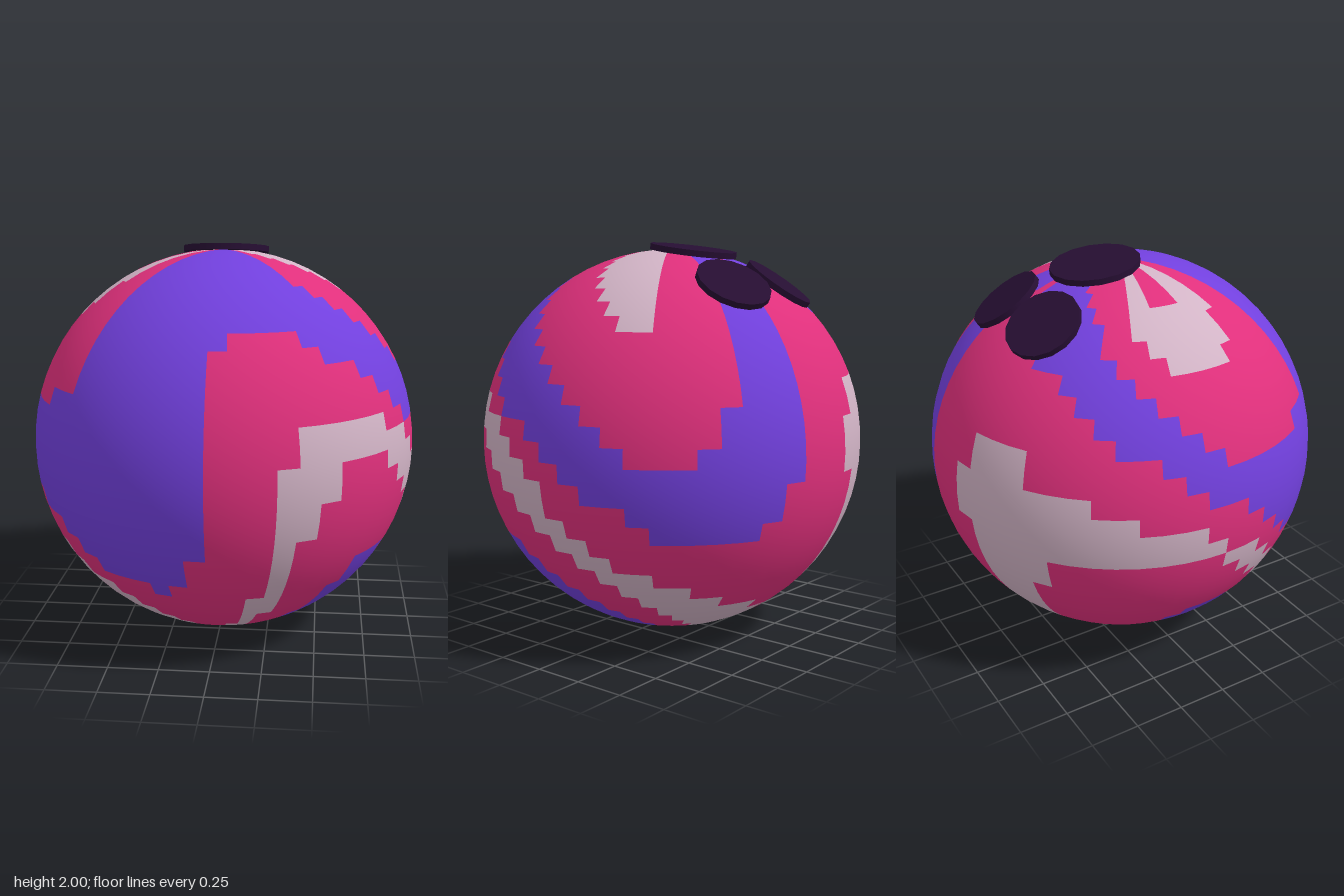
import * as THREE from 'three';

const R = 0.982, CY = 0.984;
const COLS = 56, ROWS = 34;

// Patch rules on the ball's grid: column c is 0 at the front, 14 at the model's left
// and -14 at its right; row r is 0 at the equator and 17 at the top.
const span = (v, a, b) => v > a && v < b;

// big front field, running on round the right side as a rising spiral
function frontSwirl(c, r) {
  if (!span(c, -28, 0) || c + 1.27 * r < -12.8) return false;
  if (c < -14) return c + 0.85 * r < -11.5;
  if (c < -7) return r < (c < -9 ? 3 : 4);
  return r > (c > -1 ? -4 : span(c, -3, -2) ? -7 : -6);
}

// band falling from the top round the left side, then rising again at the back
function leftSwirl(c, r) {
  if (!span(c, 0, 27)) return false;
  const low = c < 24 ? Math.max(-4, Math.min(c < 1 ? 7 : 8, (14.5 - c) / 1.27))
    : c < 25 ? -3 : c < 26 ? -1 : 12;
  const high = c < 7 ? 17 : c < 18 ? 18.5 - c : c < 21 ? 0 : c < 22 ? 1 : c < 23 ? 3 : 17;
  return span(r, low, high);
}

// purple wedges that meet at the bottom
const lowerLeft = (c, r) => r < -5 && c + r < 5.2 && span(c, r > -7 ? 8 : r > -10 ? 7 : 6, 18);
const lowerRight = (c, r) => r < -6.5 && c + r < -19.8 && span(c, 0.4 * r - 12.5, -6);

// pale patches near the top
const upperLeft = (c, r) => span(c, 9, 19) && r > 7 && c + r > 24;
function upperRight(c, r) {
  const low = c < -12 ? 8 + 0.85 * Math.max(0, -15 - c) : c < -11 ? 9 : 11;
  const notch = span(c, -16, -13) && r > 12;
  return span(c, -18, -10) && r > low && !notch;
}

// pale cross at the back and its arm sweeping forward to the bottom
function backCross(c, r) {
  if (c < -26) return (c > -27 && span(r, -1, 2)) || r < -11;
  if (c < -23) return r < 4;
  if (c < -22) return span(r, -4, 2);
  const low = c < -4 ? Math.min(-2, -17 - c) : -17;
  const high = Math.min(c < -20 ? 2 : c < -18 ? 1 : 0, (-15.3 - c) / 1.2);
  return c < -1 && span(r, low, high);
}

// pale hook: a leg at the front, a bar, then a band falling round the left side
function frontHook(c, r) {
  const left = r > -7 ? 3 : r > -11 ? 2 : 1;
  const right = r < -9 ? 3 : r < -3 ? 4 : r < -1 ? 5 : 6;
  if (r < 1 && span(c, left, right)) return true;
  if (span(c, 4, 9)) return span(r, 1, 3);
  const low = c > 23 ? -17 : 9.8 - c;
  const high = c < 14 ? Math.min(2, 12.5 - c) : Math.max(11.5 - c, 1.5 - 0.43 * c);
  return c > 9 && span(r, low, high);
}

const PURPLE = [frontSwirl, leftSwirl, lowerLeft, lowerRight];
const PALE = [upperLeft, upperRight, backCross, frontHook];

function material(name, color) {
  const m = new THREE.MeshStandardMaterial({ color });
  m.name = name;
  return m;
}

export function createModel() {
  const group = new THREE.Group();
  group.name = 'swirledBall';
  const dark = material('dark plum', 0x260e32);
  const shells = {
    pinkShell: { mat: material('pink', 0xe0307c), index: [] },
    purpleSwirls: { mat: material('purple', 0x7240de), index: [] },
    paleSwirls: { mat: material('pale mauve', 0xd2b4c6), index: [] },
  };

  // ball: sort each grid cell of the sphere into its colour
  const sphere = new THREE.SphereGeometry(R, COLS, ROWS);
  for (let iy = 0; iy < ROWS; iy++) {
    for (let ix = 0; ix < COLS; ix++) {
      const c = (ix + 14) % COLS - 28 + 0.5;
      const r = ROWS / 2 - iy - 0.5;
      const part = PALE.some(f => f(c, r)) ? 'paleSwirls'
        : PURPLE.some(f => f(c, r)) ? 'purpleSwirls' : 'pinkShell';
      const b = iy * (COLS + 1) + ix, a = b + 1;
      const d = b + COLS + 1, e = d + 1;
      if (iy > 0) shells[part].index.push(a, b, e);
      if (iy < ROWS - 1) shells[part].index.push(b, d, e);
    }
  }
  for (const [name, { mat, index }] of Object.entries(shells)) {
    const geo = sphere.clone();
    geo.setIndex(index);
    const mesh = new THREE.Mesh(geo, mat);
    mesh.name = name;
    mesh.position.y = CY;
    group.add(mesh);
  }

  // finger holes: thin dark discs lying on the surface
  const up = new THREE.Vector3(0, 1, 0);
  function hole(name, x, z, radius) {
    const dir = new THREE.Vector3(x, Math.sqrt(0.96 - x * x - z * z), z).normalize();
    const disc = new THREE.Mesh(new THREE.CylinderGeometry(radius, radius, 0.03, 16), dark);
    disc.name = name;
    disc.quaternion.setFromUnitVectors(up, dir);
    disc.position.copy(dir).multiplyScalar(0.982);
    disc.position.y += CY;
    group.add(disc);
  }
  hole('thumbHole', 0, -0.14, 0.222);
  hole('leftFingerHole', 0.195, -0.525, 0.187);
  hole('rightFingerHole', -0.195, -0.525, 0.187);
  return group;
}
